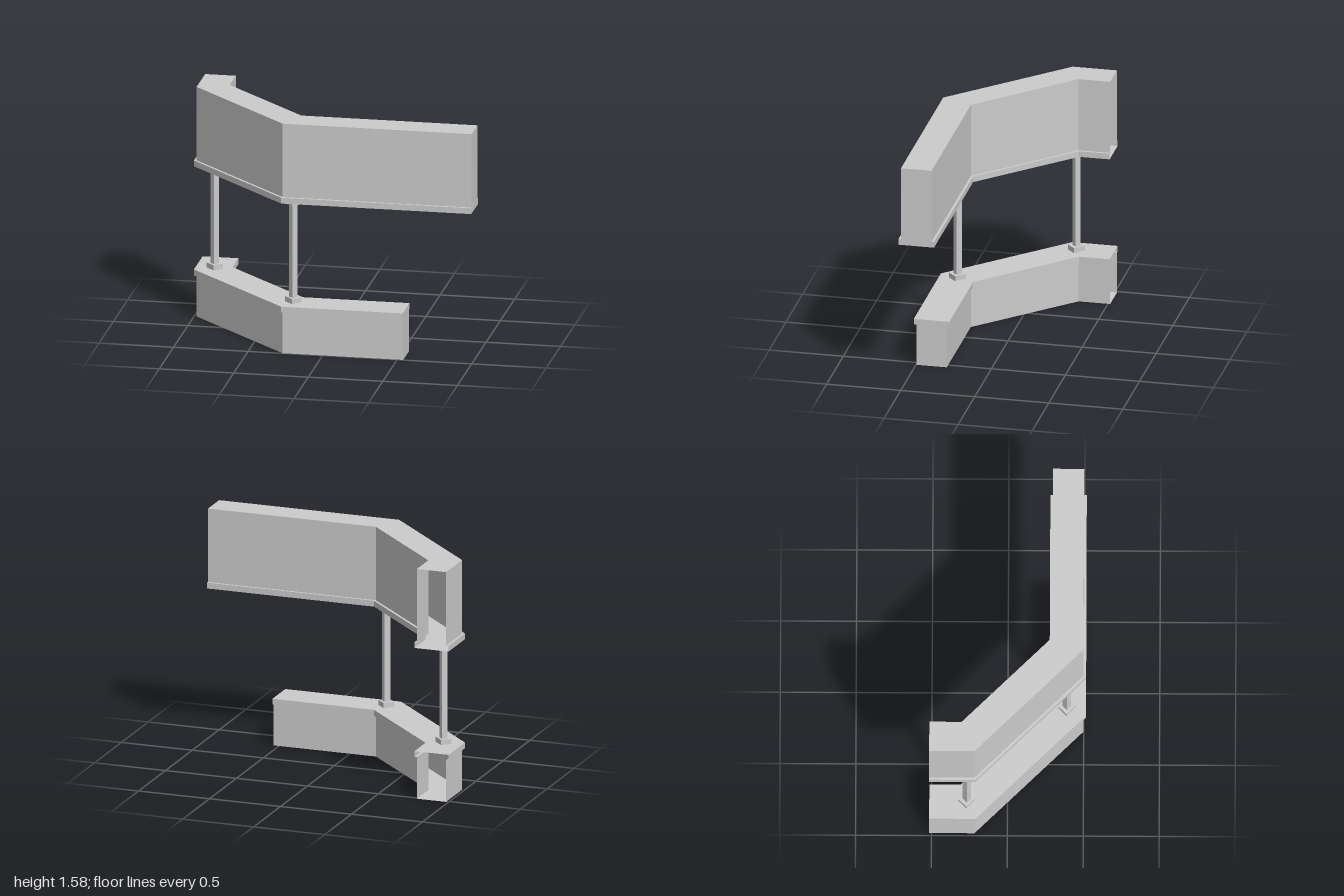
import * as THREE from 'three';

const material = new THREE.MeshStandardMaterial({ color: 0xcccccc, flatShading: true, side: THREE.DoubleSide });

const MITRE = Math.tan(Math.PI / 8);
const WALL = 0.103;   // half width of the walls
const LEDGE = 0.12;   // half width of the ledge

// Plan path with two 45 degree bends; (ox, oz) is the mitred outward offset per unit width
const planPath = (endX) => [
  { x: endX, z: 0.395, ox: 0, oz: 1 },
  { x: -0.2255, z: 0.395, ox: -MITRE, oz: 1 },
  { x: -0.88, z: -0.2595, ox: -1, oz: MITRE },
  { x: -0.88, z: -0.515, ox: -1, oz: 0 },
];

// Sweep a closed (offset, height) profile along the path: capped at the +x end, open at the back
function sweptShell(name, profile, endX) {
  const rings = planPath(endX).map((p) =>
    profile.map(([d, y]) => new THREE.Vector3(p.x + p.ox * d, y, p.z + p.oz * d)));
  const points = [];
  const n = profile.length;
  for (let i = 0; i < rings.length - 1; i++) {
    for (let j = 0; j < n; j++) {
      const k = (j + 1) % n;
      const [a, b, c, e] = [rings[i][j], rings[i][k], rings[i + 1][k], rings[i + 1][j]];
      points.push(a, b, c, a, c, e);
    }
  }
  const outline = profile.map(([d, y]) => new THREE.Vector2(d, y));
  for (const [a, b, c] of THREE.ShapeUtils.triangulateShape(outline, [])) {
    points.push(rings[0][a], rings[0][c], rings[0][b]);
  }
  const geometry = new THREE.BufferGeometry().setFromPoints(points);
  geometry.computeVertexNormals();
  const mesh = new THREE.Mesh(geometry, material);
  mesh.name = name;
  return mesh;
}

function box(name, w, d, y0, y1) {
  const mesh = new THREE.Mesh(new THREE.BoxGeometry(w, y1 - y0, d), material);
  mesh.position.y = (y0 + y1) / 2;
  mesh.name = name;
  return mesh;
}

// Square post with a foot and a head plate, turned to follow the diagonal
function post(name, x, z) {
  const group = new THREE.Group();
  group.name = name;
  group.add(
    box('postFoot', 0.085, 0.075, 0.325, 0.36),
    box('postShaft', 0.04, 0.04, 0.36, 1.0),
    box('postHead', 0.085, 0.075, 1.0, 1.035));
  group.position.set(x, 0, z);
  group.rotation.y = -Math.PI / 4;
  return group;
}

export function createModel() {
  const model = new THREE.Group();
  model.name = 'counterWithCanopy';

  // Low wall with an overhanging top
  model.add(sweptShell('lowerCounter', [
    [-WALL, 0], [WALL, 0], [WALL, 0.285], [LEDGE, 0.285],
    [LEDGE, 0.325], [-LEDGE, 0.325], [-LEDGE, 0.285], [-WALL, 0.285],
  ], 0.54));

  // Tall overhead wall with a ledge along its foot
  model.add(sweptShell('upperCanopy', [
    [-LEDGE, 1.035], [LEDGE, 1.035], [LEDGE, 1.075], [WALL, 1.075],
    [WALL, 1.58], [-WALL, 1.58], [-WALL, 1.075], [-LEDGE, 1.075],
  ], 1));

  // Posts at the two bends
  model.add(post('frontPost', -0.219, 0.389), post('backPost', -0.871, -0.267));
  return model;
}
